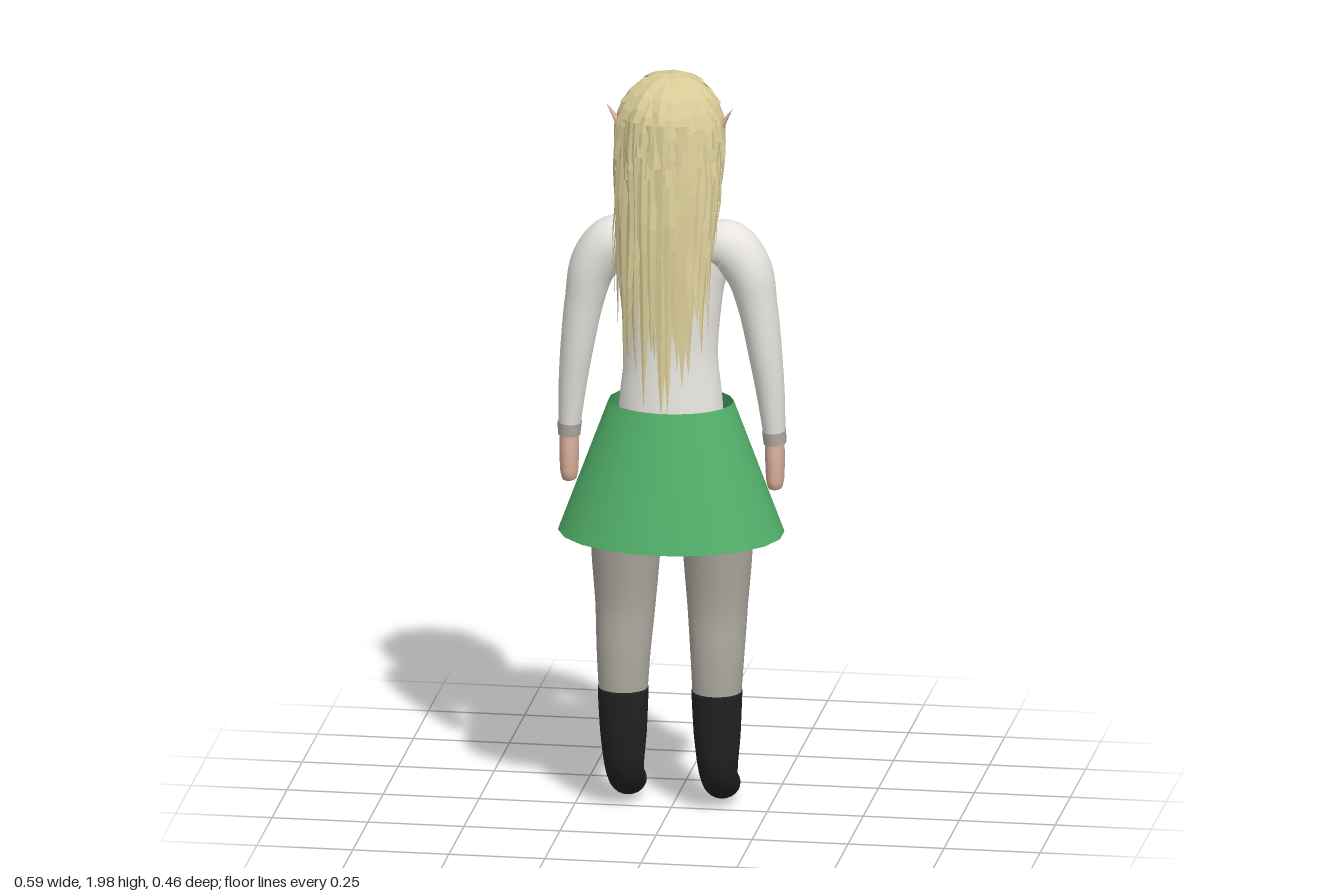
import * as THREE from 'three';

const mat = (name, color, side = THREE.FrontSide) => {
  const m = new THREE.MeshStandardMaterial({ color, side });
  m.name = name;
  return m;
};

// Smooth skin over elliptical rings; each station is [x, y, z, radiusN, radiusRef]
function loft(stations, ref, steps = 32, sides = 24) {
  const path = new THREE.CatmullRomCurve3(stations.map(s => new THREE.Vector3(s[0], s[1], s[2])));
  const radii = new THREE.CatmullRomCurve3(stations.map(s => new THREE.Vector3(s[3], s[4], 0)));
  const pos = [], idx = [];
  for (let i = 0; i <= steps; i++) {
    const t = i / steps, c = path.getPoint(t), r = radii.getPoint(t);
    const n = new THREE.Vector3().crossVectors(ref, path.getTangent(t)).normalize();
    for (let j = 0; j < sides; j++) {
      const a = j / sides * Math.PI * 2;
      const p = c.clone().addScaledVector(n, Math.max(r.x, 0.001) * Math.cos(a))
        .addScaledVector(ref, Math.max(r.y, 0.001) * Math.sin(a));
      pos.push(p.x, p.y, p.z);
      if (i < steps) {
        const k = (j + 1) % sides, A = i * sides + j, B = i * sides + k;
        idx.push(A, B, A + sides, B, B + sides, A + sides);
      }
    }
  }
  const g = new THREE.BufferGeometry();
  g.setAttribute('position', new THREE.Float32BufferAttribute(pos, 3));
  g.setIndex(idx);
  g.computeVertexNormals();
  return g;
}

// Point on the hair: a = angle from the back, s = distance from the crown
function hairPoint(a, s, lift) {
  const p = Math.min(s / 0.152, Math.PI / 2), drop = Math.max(0, s - 0.239);
  const x = Math.sin(a) * Math.sin(p) * (0.135 + lift) * (1 - 0.25 * drop);
  let z = 0.012 + Math.cos(a) * Math.sin(p) * (0.138 + lift);
  z += drop * (0.12 + 0.22 * (1 - Math.cos(a)));
  if (z > 0.185) z = 0.185 + (z - 0.185) * 0.3;
  return new THREE.Vector3(x, 1.83 + Math.cos(p) * (0.157 + lift) - drop, z);
}

// All hair locks as ridged, faceted strips
function hairLocks() {
  let seed = 7;
  const rnd = () => (seed = (seed * 16807) % 2147483647) / 2147483647;
  const tris = [];
  const lock = (a, s0, len, segs, width, lift, lean) => {
    const rows = [];
    for (let i = 0; i <= segs; i++) {
      const t = i / segs;
      const c = hairPoint(a + lean * t, s0 + len * t, lift(t));
      const side = new THREE.Vector3(Math.cos(a), 0, -Math.sin(a)).multiplyScalar(width(t));
      const sink = new THREE.Vector3(Math.sin(a), 0.3, Math.cos(a)).multiplyScalar(-width(t) * 0.3);
      rows.push([c.clone().sub(side).add(sink), c, c.clone().add(side).add(sink)]);
    }
    for (let i = 0; i < segs; i++) for (let j = 0; j < 2; j++) {
      const [p, q] = [rows[i], rows[i + 1]];
      for (const v of [p[j], q[j], p[j + 1], p[j + 1], q[j], q[j + 1]]) tris.push(v.x, v.y, v.z);
    }
  };
  // overlapping short tufts on the crown
  [[0.01, 7], [0.05, 11], [0.09, 15], [0.13, 19], [0.17, 21], [0.21, 21]].forEach(([s0, count], row) => {
    for (let k = 0; k < count; k++) {
      const a = ((k + (row % 2) / 2) / count) * Math.PI * 2 - Math.PI + (rnd() - 0.5) * 0.15;
      const front = Math.abs(a) > 2.05;
      if (front && s0 > 0.12) continue;
      const len = front ? Math.min(0.1, 0.195 - s0) : 0.09 + rnd() * 0.04;
      const w = 0.022 + rnd() * 0.007, tip = 0.007 + rnd() * 0.008;
      lock(a, s0, len, 3, t => w * (1 - 0.45 * t * t), t => 0.001 + tip * t, (rnd() - 0.5) * 0.2);
    }
  });
  // long tapering strands down the back and sides
  [[0.008, 25], [0, 23], [-0.02, 19]].forEach(([lift, count]) => {
    for (let k = 0; k < count; k++) {
      const a = -2.1 + 4.2 * (k + 0.2 + rnd() * 0.6) / count;
      const endY = 1.11 + 0.125 * a * a + rnd() * 0.22;
      const w = 0.015 + rnd() * 0.007, wave = rnd() * 6;
      lock(a, 0.19, 1.83 - endY + 0.049, 9, t => w * (1 - t * t * t),
        t => lift + 0.004 * Math.sin(wave + t * 9), (rnd() - 0.5) * 0.1);
    }
  });
  const g = new THREE.BufferGeometry();
  g.setAttribute('position', new THREE.Float32BufferAttribute(tris, 3));
  g.computeVertexNormals();
  return g;
}

export function createModel() {
  const model = new THREE.Group();
  const skin = mat('skin', 0xd9b09b), white = mat('white cloth', 0xe9e7e0);
  const green = mat('green cloth', 0x52b06a, THREE.DoubleSide), tights = mat('grey tights', 0xaaa79c);
  const black = mat('black boots', 0x222222), grey = mat('grey trim', 0xb3aca3, THREE.DoubleSide);
  const blonde = mat('blonde hair', 0xd8cb97, THREE.DoubleSide);
  const eyeWhite = mat('eye white', 0xe4ecee), iris = mat('blue iris', 0x5d93b0), lip = mat('lips', 0x8a4f4a);
  const X = new THREE.Vector3(1, 0, 0), Z = new THREE.Vector3(0, 0, 1);
  const add = (name, geo, material, x = 0, y = 0, z = 0) => {
    const m = new THREE.Mesh(geo, material);
    m.name = name;
    m.position.set(x, y, z);
    model.add(m);
    return m;
  };
  const ball = (rx, ry, rz) => new THREE.SphereGeometry(1, 28, 20).scale(rx, ry, rz);

  // Torso, neck and collar
  add('torso', loft([
    [0, 1.0, 0, 0.11, 0.14], [0, 1.1, 0, 0.1, 0.135], [0, 1.25, 0, 0.086, 0.122], [0, 1.4, 0, 0.085, 0.135],
    [0, 1.5, 0, 0.077, 0.155], [0, 1.56, 0, 0.066, 0.15], [0, 1.59, 0, 0.058, 0.11], [0, 1.615, -0.002, 0.05, 0.055],
  ], X, 40), white);
  add('neck', loft([
    [0, 1.58, 0, 0.05, 0.056], [0, 1.64, -0.004, 0.045, 0.05], [0, 1.69, -0.008, 0.046, 0.05], [0, 1.76, -0.01, 0.05, 0.055],
  ], X, 12), skin);
  add('collar', loft([
    [0, 1.588, 0, 0.062, 0.1], [0, 1.605, 0, 0.056, 0.074], [0, 1.628, -0.003, 0.048, 0.054],
  ], X, 8), grey);

  // Flared open skirt
  const skirt = new THREE.CylinderGeometry(0.162, 0.293, 0.35, 20, 4, true, Math.PI / 20);
  add('skirt', skirt.scale(1, 1, 0.8), green, 0, 0.93, 0);

  // Head and face, looking toward -z
  const head = ball(0.108, 0.14, 0.101), hp = head.attributes.position;
  for (let i = 0; i < hp.count; i++) {
    const y = hp.getY(i);
    if (y < 0) hp.setX(i, hp.getX(i) * (1 + 1.6 * y));
  }
  head.computeVertexNormals();
  add('head', head, skin, 0, 1.845, 0);
  const nose = add('nose', new THREE.ConeGeometry(0.016, 0.05, 10), skin, 0, 1.832, -0.104);
  nose.rotation.x = -0.75;
  add('mouth', ball(0.026, 0.006, 0.005), lip, 0, 1.772, -0.084);

  for (const s of [-1, 1]) {
    const side = s > 0 ? 'left' : 'right';
    add(side + 'Eye', ball(0.018, 0.01, 0.005), eyeWhite, s * 0.04, 1.86, -0.093).rotation.y = s * 0.35;
    add(side + 'Iris', ball(0.008, 0.009, 0.004), iris, s * 0.04, 1.86, -0.096).rotation.y = s * 0.35;
    // Pointed ear
    const ear = add(side + 'Ear', new THREE.ConeGeometry(0.021, 0.085, 10).scale(0.6, 1, 1), skin, s * 0.143, 1.868, 0.022);
    ear.rotation.set(0.15, 0, -s * 0.55);
    add(side + 'Breast', ball(0.05, 0.056, 0.053), white, s * 0.05, 1.44, -0.08);

    // Sleeve, cuff and hand
    add(side + 'Sleeve', loft([
      [s * 0.08, 1.525, 0, 0.055, 0.055], [s * 0.15, 1.525, 0, 0.067, 0.068], [s * 0.2, 1.465, 0, 0.062, 0.068],
      [s * 0.225, 1.37, 0, 0.051, 0.06], [s * 0.245, 1.24, -0.002, 0.043, 0.052],
      [s * 0.258, 1.13, -0.008, 0.036, 0.044], [s * 0.267, 1.02, -0.014, 0.028, 0.036],
    ], Z, 36), white);
    add(side + 'Cuff', loft([
      [s * 0.266, 1.032, -0.013, 0.031, 0.039], [s * 0.267, 1.015, -0.014, 0.03, 0.038], [s * 0.268, 0.998, -0.015, 0.029, 0.037],
    ], Z, 4), grey);
    add(side + 'Hand', loft([
      [s * 0.267, 1.01, -0.014, 0.025, 0.032], [s * 0.268, 0.95, -0.016, 0.025, 0.037],
      [s * 0.268, 0.9, -0.018, 0.023, 0.037], [s * 0.268, 0.878, -0.018, 0.018, 0.028], [s * 0.268, 0.87, -0.018, 0.001, 0.001],
    ], Z, 20), skin);

    // Leg and boot
    add(side + 'Leg', loft([
      [s * 0.085, 1.04, 0, 0.085, 0.075], [s * 0.105, 0.9, -0.008, 0.1, 0.092], [s * 0.118, 0.75, -0.012, 0.096, 0.092],
      [s * 0.12, 0.55, -0.007, 0.073, 0.078], [s * 0.122, 0.43, 0.01, 0.065, 0.07], [s * 0.122, 0.32, 0.018, 0.06, 0.063],
    ], X), tights);
    add(side + 'Boot', loft([
      [s * 0.122, 0.336, 0.018, 0.001, 0.001], [s * 0.122, 0.335, 0.018, 0.062, 0.066], [s * 0.122, 0.22, 0.013, 0.055, 0.061],
      [s * 0.122, 0.13, 0.003, 0.046, 0.052], [s * 0.122, 0.079, -0.035, 0.044, 0.047],
      [s * 0.122, 0.057, -0.09, 0.042, 0.043], [s * 0.122, 0.046, -0.13, 0.037, 0.038], [s * 0.122, 0.043, -0.153, 0.001, 0.001],
    ], X, 42), black);
  }

  // Hair: under-cap on crown and back, then the locks
  add('hairCrown', new THREE.SphereGeometry(1, 28, 10, 0, Math.PI * 2, 0, 1.1).scale(0.131, 0.154, 0.134), blonde, 0, 1.83, 0.012);
  add('hairBack', new THREE.SphereGeometry(1, 24, 14, Math.PI / 2 - 2, 4, 1, 1.3).scale(0.129, 0.154, 0.134), blonde, 0, 1.83, 0.012);
  add('hairLocks', hairLocks(), blonde);
  return model;
}
